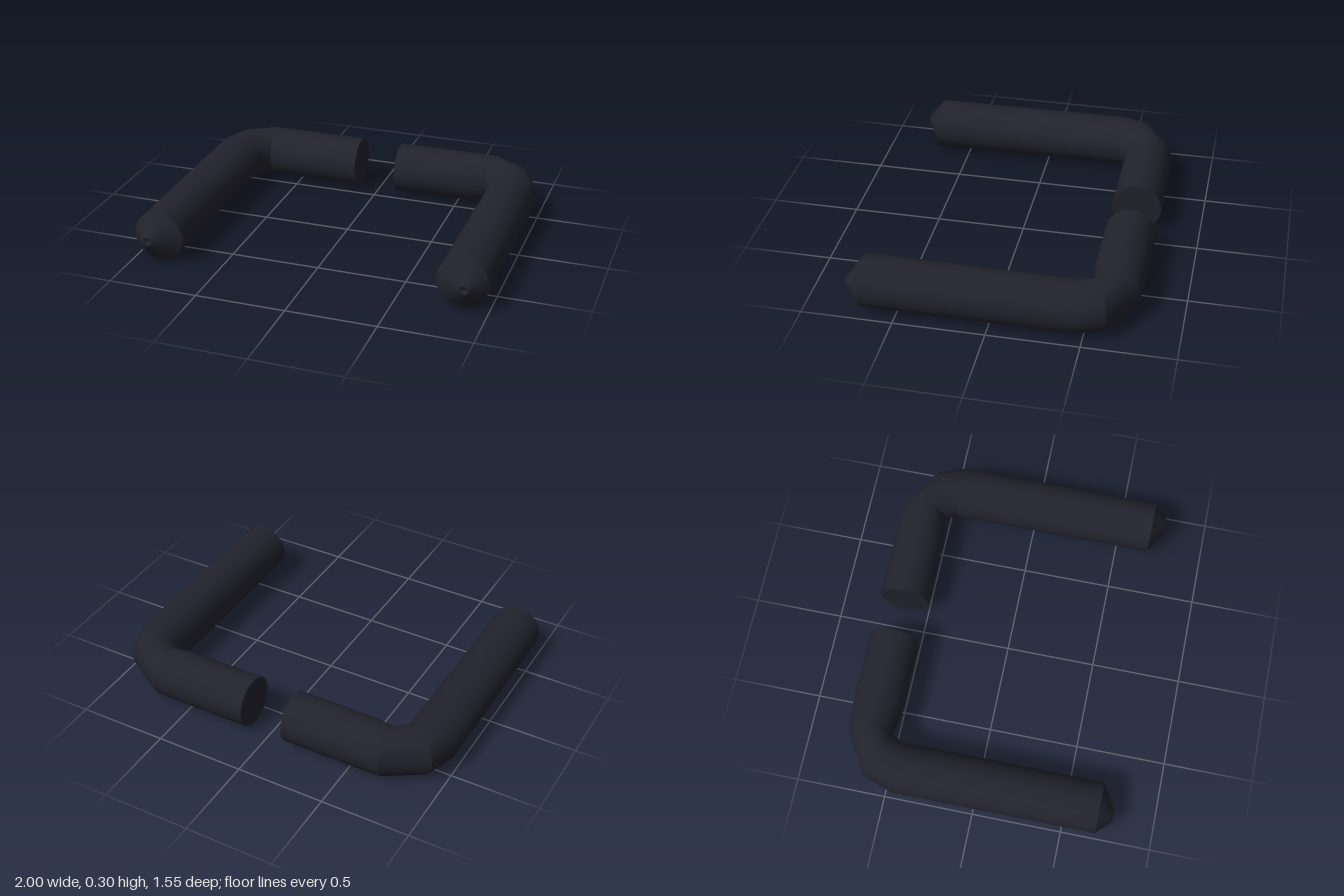
import * as THREE from 'three';
import { toCreasedNormals } from 'three/addons/utils/BufferGeometryUtils.js';

const SIDES = 32;

// Skin through elliptical rings: [outer x, outer z, inner x, inner z, y centre, y radius]
function loft(rings, side) {
  const pos = [], index = [];
  for (const [ox, oz, ix, iz, y, r] of rings) {
    for (let j = 0; j < SIDES; j++) {
      const t = (j / SIDES) * Math.PI * 2, c = Math.cos(t) / 2;
      pos.push(side * ((ox + ix) / 2 + (ox - ix) * c), y + r * Math.sin(t), (oz + iz) / 2 + (oz - iz) * c);
    }
  }
  for (let i = 0; i < rings.length - 1; i++) {
    for (let j = 0; j < SIDES; j++) {
      const a = i * SIDES + j, b = i * SIDES + (j + 1) % SIDES, c = a + SIDES, d = b + SIDES;
      if (side > 0) index.push(a, b, c, b, d, c);
      else index.push(a, c, b, b, c, d);
    }
  }
  const geo = new THREE.BufferGeometry();
  geo.setAttribute('position', new THREE.Float32BufferAttribute(pos, 3));
  geo.setIndex(index);
  return toCreasedNormals(geo, 0.45);
}

export function createModel() {
  const model = new THREE.Group();
  model.name = 'bentBars';
  const dark = new THREE.MeshStandardMaterial({ color: 0x22222d });
  dark.name = 'darkNavy';

  for (const side of [1, -1]) {
    const half = new THREE.Group();
    half.name = side > 0 ? 'leftBar' : 'rightBar';
    const yb = 0.152, yf = yb + side * 0.006, r = 0.142;

    // Back bar with flat end, bend and forward arm
    const bar = new THREE.Mesh(loft([
      [0.123, -0.635, 0.123, -0.635, yb, 0],
      [0.123, -0.775, 0.123, -0.495, yb, r],
      [0.56, -0.775, 0.54, -0.495, yb, r],
      [0.705, -0.765, 0.675, -0.515, yb, r],
      [0.94, -0.62, 0.695, -0.49, yb, r],
      [1.0, -0.45, 0.715, -0.45, yb, r],
      [0.997, 0.685, 0.713, 0.685, yf, r],
    ], side), dark);
    bar.name = 'bar';

    // Off-centre cone tip with a small dimple
    const tip = new THREE.Mesh(loft([
      [0.997, 0.685, 0.713, 0.685, yf, r],
      [0.947, 0.735, 0.797, 0.735, yf, 0.078],
      [0.909, 0.772, 0.861, 0.772, yf, 0.024],
      [0.885, 0.76, 0.885, 0.76, yf, 0],
    ], side), dark);
    tip.name = 'tip';

    half.add(bar, tip);
    model.add(half);
  }
  return model;
}
